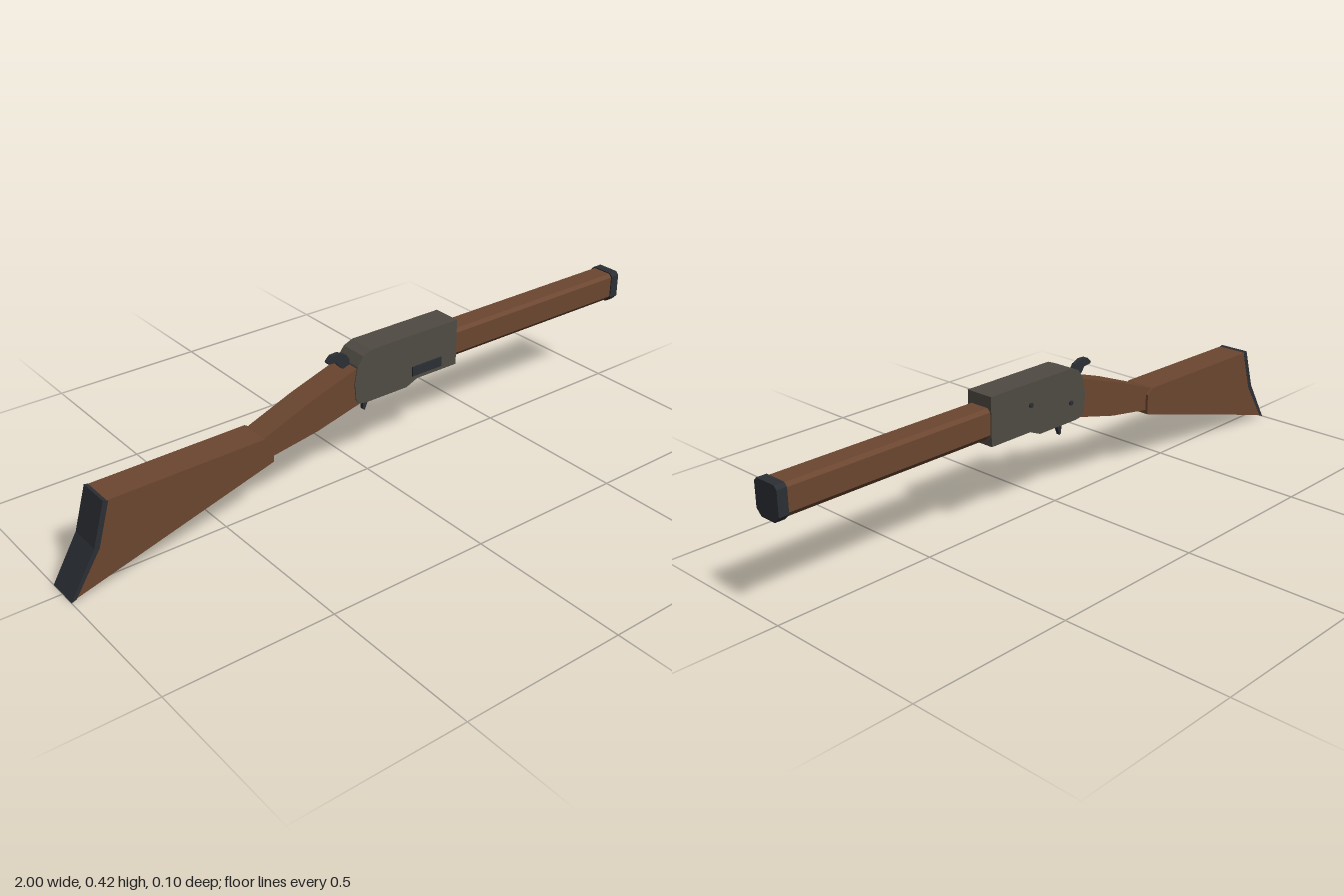
import * as THREE from 'three';

const mat = (color) => new THREE.MeshStandardMaterial({ color, flatShading: true });
const wood = mat(0x6b4630);
const steel = mat(0x4f4b43);
const dark = mat(0x2b2f34);

const outline = (points) => new THREE.Shape(points.map(([a, b]) => new THREE.Vector2(a, b)));

function mesh(name, geometry, material) {
  const m = new THREE.Mesh(geometry, material);
  m.name = name;
  return m;
}

// Side profile (x, y) extruded across z, from z0 to z1
function plate(name, points, z0, z1, material) {
  const g = new THREE.ExtrudeGeometry(outline(points), { depth: z1 - z0, bevelEnabled: false });
  g.translate(0, 0, z0);
  return mesh(name, g, material);
}

// Box section with small top and large bottom chamfers, running along x
function beam(name, x0, x1, yBottom, yTop, halfWidth, material) {
  const w = halfWidth, t = 0.01, b = 0.018;
  const section = [
    [-w + b, yBottom], [w - b, yBottom], [w, yBottom + b], [w, yTop - t],
    [w - t, yTop], [-w + t, yTop], [-w, yTop - t], [-w, yBottom + b],
  ];
  const g = new THREE.ExtrudeGeometry(outline(section), { depth: x1 - x0, bevelEnabled: false });
  g.rotateY(Math.PI / 2);
  g.translate(x0, 0, 0);
  return mesh(name, g, material);
}

export function createModel() {
  const group = new THREE.Group();
  group.name = 'leverRifle';

  // Shoulder stock and its butt plate
  group.add(plate('stock', [
    [-0.985, 0.008], [-0.365, 0.185], [-0.365, 0.248], [-0.392, 0.265],
    [-0.872, 0.261], [-0.908, 0.13],
  ], -0.05, 0.05, wood));
  group.add(plate('buttPlate', [
    [-1, 0], [-0.985, 0.006], [-0.906, 0.13], [-0.868, 0.26], [-0.883, 0.264], [-0.921, 0.135],
  ], -0.0505, 0.0505, dark));

  // Curved grip between stock and receiver
  group.add(plate('grip', [
    [-0.4, 0.195], [-0.36, 0.198], [-0.21, 0.222], [-0.06, 0.26], [-0.06, 0.378],
    [-0.1, 0.366], [-0.24, 0.32], [-0.4, 0.258],
  ], -0.042, 0.042, wood));

  // Receiver with rounded rear
  group.add(plate('receiver', [
    [-0.04, 0.258], [0.11, 0.258], [0.15, 0.275], [0.3, 0.275], [0.3, 0.42], [-0.02, 0.42],
    [-0.05, 0.408], [-0.07, 0.38], [-0.08, 0.33], [-0.075, 0.275], [-0.065, 0.262],
  ], -0.045, 0.045, steel));

  // Loading gate on the front side
  const gate = mesh('loadingGate', new THREE.BoxGeometry(0.11, 0.03, 0.012), dark);
  gate.position.set(0.185, 0.303, 0.043);
  group.add(gate);

  // Pins on the rear side
  for (const [x, y] of [[-0.018, 0.317], [0.147, 0.355]]) {
    const pin = mesh('receiverPin', new THREE.CylinderGeometry(0.007, 0.007, 0.012, 12), dark);
    pin.rotation.x = Math.PI / 2;
    pin.position.set(x, y, -0.044);
    group.add(pin);
  }

  // Forend and muzzle cap
  group.add(beam('forend', 0.29, 0.975, 0.291, 0.385, 0.041, wood));
  group.add(beam('muzzleCap', 0.97, 1, 0.288, 0.388, 0.0445, dark));

  // Hammer with curled spur, and trigger
  group.add(plate('hammer', [
    [-0.07, 0.365], [-0.07, 0.392], [-0.082, 0.408], [-0.105, 0.418], [-0.13, 0.417],
    [-0.146, 0.402], [-0.143, 0.396], [-0.118, 0.394], [-0.105, 0.378], [-0.092, 0.365],
  ], -0.008, 0.008, dark));
  group.add(plate('trigger', [
    [-0.024, 0.262], [-0.021, 0.235], [-0.02, 0.212], [-0.014, 0.208], [-0.004, 0.232], [0.002, 0.262],
  ], -0.006, 0.006, dark));

  return group;
}
